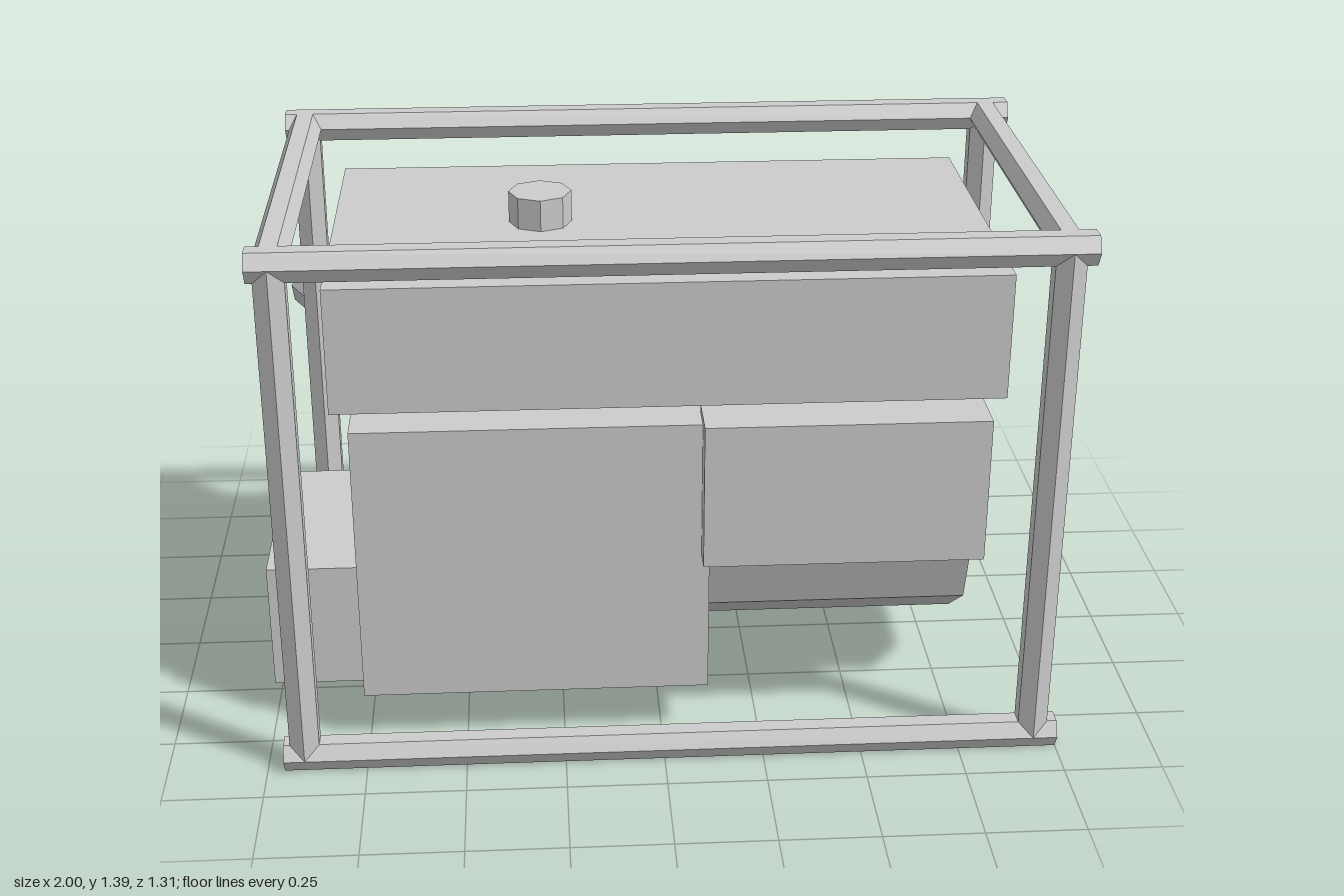
import * as THREE from 'three';

export function createModel() {
  const model = new THREE.Group();
  model.name = 'portableGenerator';
  const grey = new THREE.MeshStandardMaterial({ color: 0xcccccc, flatShading: true });
  grey.name = 'grey';

  function add(name, geometry, parent = model) {
    const mesh = new THREE.Mesh(geometry, grey);
    mesh.name = name;
    parent.add(mesh);
    return mesh;
  }

  // Box given by its limits on each axis
  function box(name, [x0, x1], [y0, y1], [z0, z1]) {
    const g = new THREE.BoxGeometry(x1 - x0, y1 - y0, z1 - z0);
    g.translate((x0 + x1) / 2, (y0 + y1) / 2, (z0 + z1) / 2);
    return add(name, g);
  }

  // Tubular frame of hexagonal bars
  const frame = new THREE.Group();
  frame.name = 'frame';
  model.add(frame);
  const R = 0.0427, low = 0.04, high = 1.355, front = 0.615, back = -0.427;
  const left = 0.938, right = -0.904;
  const bar = (length) => new THREE.CylinderGeometry(R, R, length, 6);

  for (const z of [front, back]) {
    for (const y of [low, high]) {
      add('longRail', bar(1.957).rotateZ(Math.PI / 2).translate(0.0215, y, z), frame);
    }
    for (const x of [left, right]) {
      add('post', bar(high - low).translate(x, (low + high) / 2, z), frame);
    }
  }
  for (const x of [left, right]) {
    const g = bar(front - back).rotateY(Math.PI / 2).rotateX(Math.PI / 2);
    add('crossRail', g.translate(x, high, (front + back) / 2), frame);
  }

  // Fuel tank and its cap
  box('fuelTank', [-0.8, 0.836], [0.937, 1.257], [-0.346, 0.531]);
  add('fuelCap', new THREE.CylinderGeometry(0.079, 0.079, 0.12, 8).translate(-0.282, 1.277, 0.092));

  // Engine, side housing and control panel
  box('engineBlock', [-0.759, 0.118], [0.139, 0.878], [-0.324, 0.514]);
  box('sideHousing', [-1, -0.72], [0.097, 0.433], [-0.187, 0.373]);
  box('controlPanel', [0.098, 0.797], [0.518, 0.897], [0.436, 0.575]);

  // Alternator drum lying along x
  add('alternator', new THREE.CylinderGeometry(0.34, 0.34, 0.76, 10)
    .rotateZ(Math.PI / 2).translate(0.417, 0.497, 0.094));

  // Muffler slanting up and out at the rear corner
  const inner = new THREE.Vector3(-0.655, 0.722, -0.373);
  const outer = new THREE.Vector3(-0.914, 0.878, -0.573);
  const axis = outer.clone().sub(inner);
  const muffler = add('muffler', new THREE.CylinderGeometry(0.106, 0.106, axis.length(), 8));
  muffler.position.copy(inner).lerp(outer, 0.5);
  muffler.quaternion.setFromUnitVectors(new THREE.Vector3(0, 1, 0), axis.normalize());

  return model;
}
